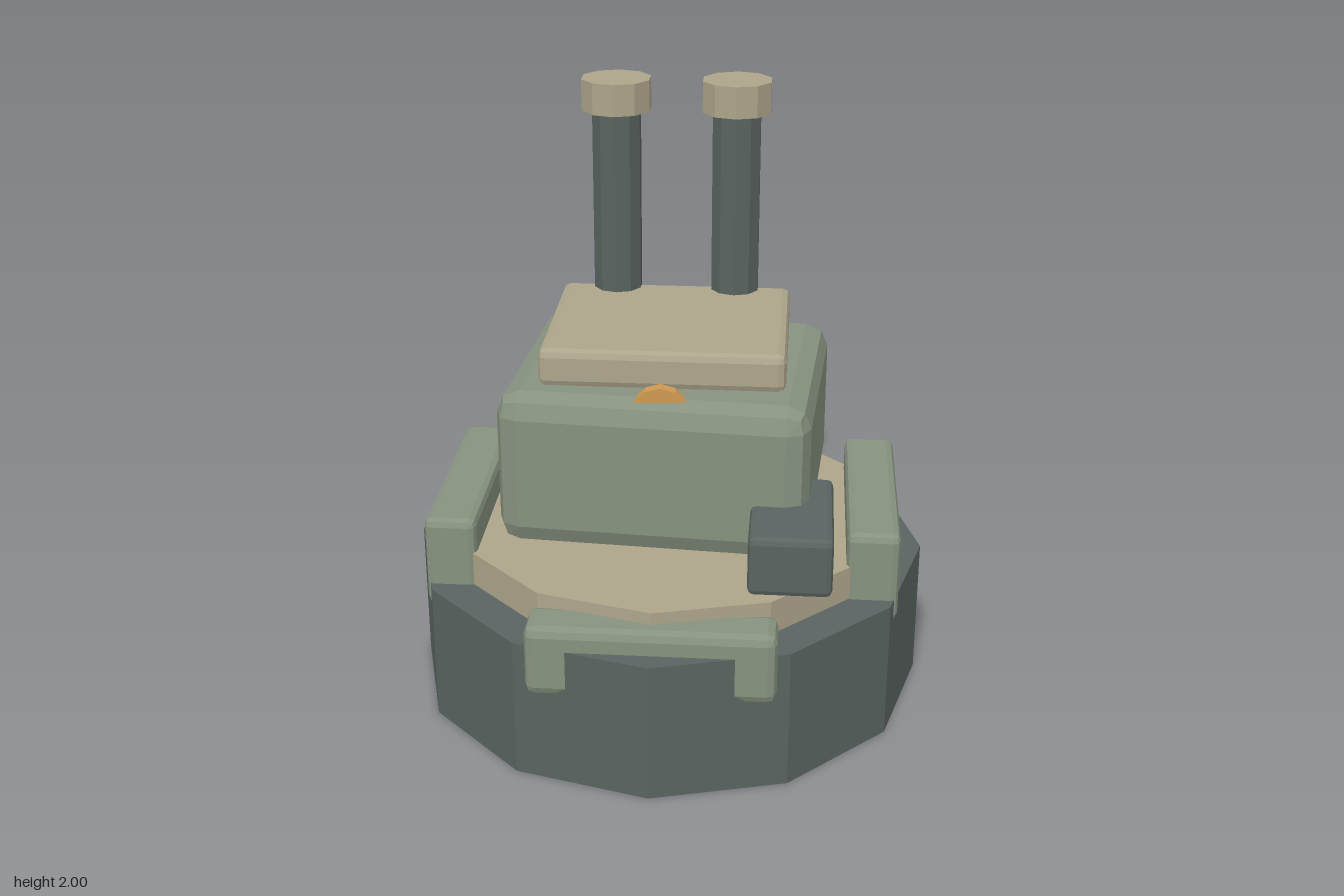
import * as THREE from 'three';
import { RoundedBoxGeometry } from 'three/addons/geometries/RoundedBoxGeometry.js';

const material = (name, color) => {
  const m = new THREE.MeshStandardMaterial({ color });
  m.name = name;
  return m;
};

// Faceted geometry: every face keeps its own normal
function flat(geometry) {
  const g = geometry.index ? geometry.toNonIndexed() : geometry;
  g.computeVertexNormals();
  return g;
}

export function createModel() {
  const model = new THREE.Group();
  const dark = material('dark slate', 0x5a6461);
  const green = material('sage green', 0x87927f);
  const sand = material('sand', 0xada58b);
  const amber = material('amber', 0xd09a50);

  const add = (name, geometry, mat, x, y, z) => {
    const mesh = new THREE.Mesh(flat(geometry), mat);
    mesh.name = name;
    mesh.position.set(x, y, z);
    model.add(mesh);
    return mesh;
  };
  // Box with two-step bevelled edges
  const block = (name, mat, [w, h, d], bevel, x, y, z) =>
    add(name, new RoundedBoxGeometry(w, h, d, 1, bevel), mat, x, y, z);
  // Upright prism between two heights
  const prism = (name, mat, radius, sides, y0, y1, x = 0, z = 0) =>
    add(name, new THREE.CylinderGeometry(radius, radius, y1 - y0, sides), mat, x, (y0 + y1) / 2, z);

  // Twelve-sided base and deck
  prism('base', dark, 0.86, 12, 0, 0.47);
  prism('deck', sand, 0.73, 12, 0.45, 0.585);

  // Bumpers around the base
  block('frontBumper', green, [0.78, 0.235, 0.16], 0.03, 0, 0.4275, 0.71);
  for (const side of [-1, 1]) {
    block(side < 0 ? 'rightBumper' : 'leftBumper', green, [0.17, 0.31, 0.78], 0.025, side * 0.685, 0.545, 0);
  }

  // Slightly turned body with roof slab
  block('body', green, [1.0, 0.52, 0.88], 0.075, 0, 0.885, 0).rotation.y = -0.07;
  block('roof', sand, [0.78, 0.125, 0.67], 0.025, 0, 1.2175, 0);

  // Side box on the front left corner
  block('sideBox', dark, [0.26, 0.195, 0.455], 0.02, 0.42, 0.7325, 0.465);

  // Lamp disc half sunk into the body
  add('lamp', new THREE.CylinderGeometry(0.095, 0.095, 0.04, 12), amber, 0, 1.09, 0.366).rotation.x = -Math.PI / 2;

  // Chimneys with caps
  for (const x of [-0.2, 0.2]) {
    prism('chimney', dark, 0.083, 10, 1.05, 1.92, x, -0.31);
    prism('chimneyCap', sand, 0.118, 10, 1.895, 2, x, -0.31);
  }

  return model;
}
